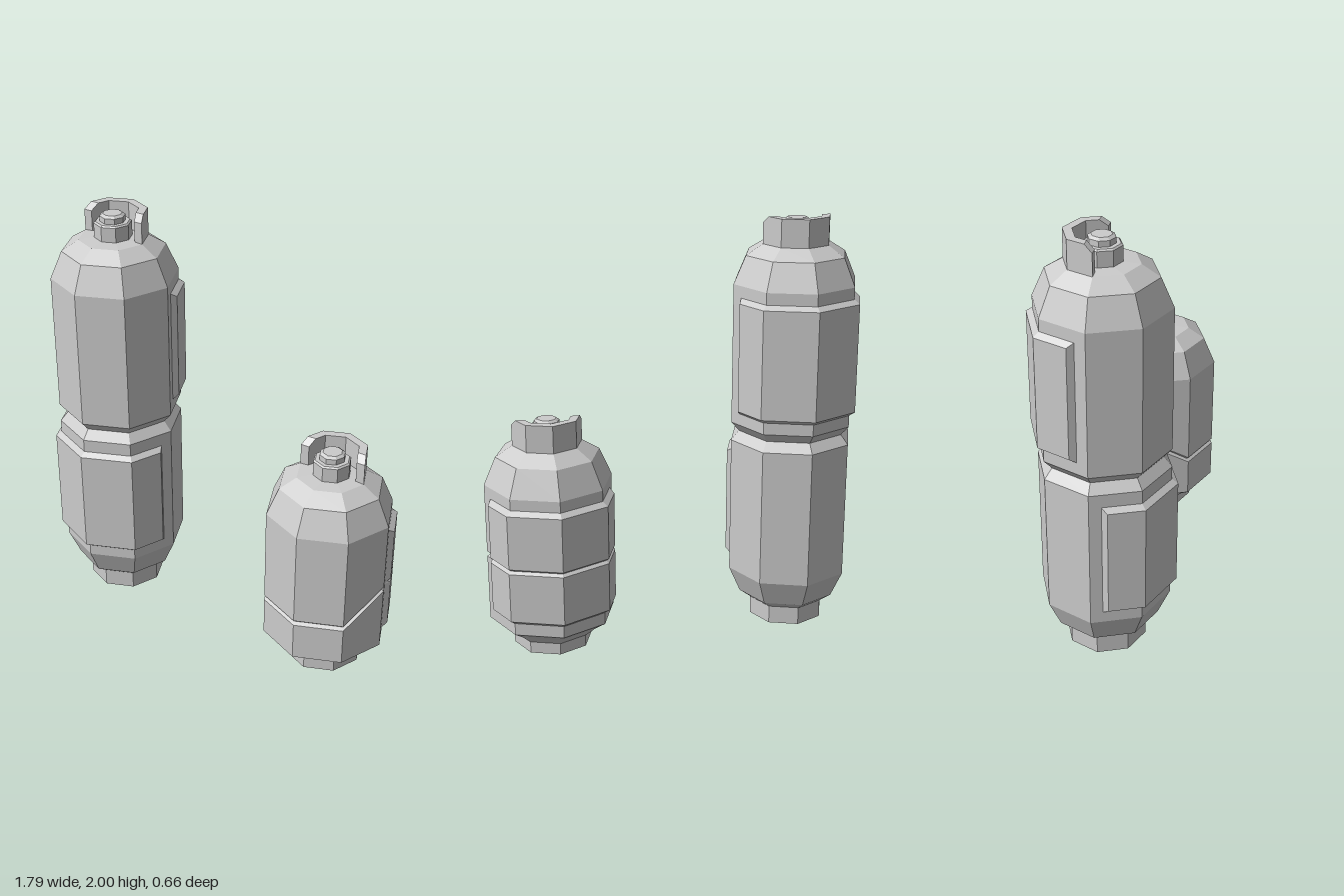
import * as THREE from 'three';

const material = new THREE.MeshStandardMaterial({ color: 0xcccccc, flatShading: true });
const SIDES = 8;
const BODY_R = 0.3;
const PANEL_R = 0.328;
const SLOPE = Math.tan(Math.PI / 8); // slope of an octagon side next to its x corner

function addMesh(parent, name, geometry) {
  const flat = geometry.index ? geometry.toNonIndexed() : geometry;
  flat.computeVertexNormals();
  const mesh = new THREE.Mesh(flat, material);
  mesh.name = name;
  parent.add(mesh);
  return mesh;
}

// Octagonal turned part from [radius, y] pairs
function turned(profile) {
  return new THREE.LatheGeometry(profile.map(([r, y]) => new THREE.Vector2(r, y)), SIDES);
}

// Skin over equal-length closed loops of [x, y, z], with end caps
function loft(sections) {
  const out = [];
  const n = sections[0].length;
  const tri = (a, b, c) => out.push(...a, ...b, ...c);
  for (let i = 0; i < sections.length - 1; i++) {
    for (let j = 0; j < n; j++) {
      const k = (j + 1) % n;
      tri(sections[i][j], sections[i][k], sections[i + 1][k]);
      tri(sections[i][j], sections[i + 1][k], sections[i + 1][j]);
    }
  }
  const first = sections[0], last = sections[sections.length - 1];
  for (let j = 1; j < n - 1; j++) {
    tri(first[0], first[j + 1], first[j]);
    tri(last[0], last[j], last[j + 1]);
  }
  const geometry = new THREE.BufferGeometry();
  geometry.setAttribute('position', new THREE.Float32BufferAttribute(out, 3));
  return geometry;
}

// Raised plate wrapped round half the body, with bevelled rim and optional groove
function panelGeometry(y0, y1, grooveY) {
  const bevel = 0.021;
  const base = BODY_R - 0.001;
  const level = (y, r, endZ) => {
    const c = r * Math.SQRT1_2;
    const half = [[base - 0.05 * SLOPE, 0.05], [r - endZ * SLOPE, endZ], [c, c]];
    return [
      ...half.map(([x, z]) => [-x, y, z]),
      [0, y, r],
      ...half.reverse().map(([x, z]) => [x, y, z]),
    ];
  };
  const sections = [level(y0, base, 0.05), level(y0 + bevel, PANEL_R, 0.08)];
  if (grooveY) {
    sections.push(
      level(grooveY - 0.012, PANEL_R, 0.08),
      level(grooveY, PANEL_R - 0.016, 0.065),
      level(grooveY + 0.012, PANEL_R, 0.08));
  }
  sections.push(level(y1 - bevel, PANEL_R, 0.08), level(y1, base, 0.05));
  return loft(sections);
}

// Half-round guard behind the valve, its front tips cut down
function collarGeometry(y0, y1) {
  const ro = 0.163, ri = 0.122, tip = 0.035, c = Math.SQRT1_2;
  const section = (ox, oz, ix, iz, top) =>
    [[ox, top, oz], [ox, y0, oz], [ix, y0, iz], [ix, top, iz]];
  const side = (s) => [
    section(s * ro, 0, s * ri, 0, y1 - 0.03),
    section(s * (ro - tip * SLOPE), -tip, s * (ri - tip * SLOPE), -tip, y1),
    section(s * ro * c, -ro * c, s * ri * c, -ri * c, y1),
  ];
  return loft([...side(1), section(0, -ro, 0, -ri, y1), ...side(-1).reverse()]);
}

function makeTank({ name, x, profile, footTop, neckY, panels, slantY }) {
  const tank = new THREE.Group();
  tank.name = name;
  tank.position.x = x;

  // Body, closed at the bottom and under the valve
  const body = turned([[0, footTop], [0.19, footTop], ...profile, [0.163, neckY], [0, neckY + 0.012]]);
  if (slantY) {
    // Drop the seam at the front so that it slants down along the sides
    const p = body.attributes.position;
    for (let i = 0; i < p.count; i++) {
      if (Math.abs(p.getY(i) - slantY) < 0.03 && p.getZ(i) > 0.1) p.setY(i, p.getY(i) - 0.13);
    }
  }
  addMesh(tank, 'body', body);

  // Hollow foot ring
  addMesh(tank, 'footRing', turned([
    [0.15, footTop], [0.15, 0], [0.187, 0], [0.187, footTop],
  ]));

  // Stepped valve
  addMesh(tank, 'valve', turned([
    [0.088, neckY - 0.01], [0.088, neckY + 0.075], [0.08, neckY + 0.082],
    [0.06, neckY + 0.082], [0.06, neckY + 0.108], [0.045, neckY + 0.118], [0, neckY + 0.118],
  ]));

  addMesh(tank, 'collar', collarGeometry(neckY - 0.012, neckY + 0.13));

  for (const { label, y0, y1, groove, back } of panels) {
    const panel = addMesh(tank, label, panelGeometry(y0, y1, groove));
    if (back) panel.rotation.y = Math.PI;
  }
  return tank;
}

export function createModel() {
  const model = new THREE.Group();
  model.name = 'gasTanks';

  // Tall tank with a waist and two panels
  model.add(makeTank({
    name: 'tallTank',
    x: -0.594,
    footTop: 0.09,
    neckY: 1.87,
    profile: [
      [0.243, 0.13], [BODY_R, 0.26], [BODY_R, 0.93], [0.262, 0.975],
      [BODY_R, 1.02], [BODY_R, 1.69], [0.243, 1.82],
    ],
    panels: [
      { label: 'frontPanel', y0: 0.313, y1: 0.868 },
      { label: 'backPanel', y0: 1.076, y1: 1.635, back: true },
    ],
  }));

  // Short tank with a slanting seam that also crosses the back panel
  const seam = 0.475;
  model.add(makeTank({
    name: 'shortTank',
    x: 0.594,
    footTop: 0.058,
    neckY: 1.0,
    slantY: seam,
    profile: [
      [0.243, 0.105], [BODY_R, 0.145], [BODY_R, seam - 0.013], [0.284, seam],
      [BODY_R, seam + 0.013], [BODY_R, 0.82], [0.243, 0.95],
    ],
    panels: [{ label: 'backPanel', y0: 0.203, y1: 0.768, groove: seam, back: true }],
  }));

  return model;
}
